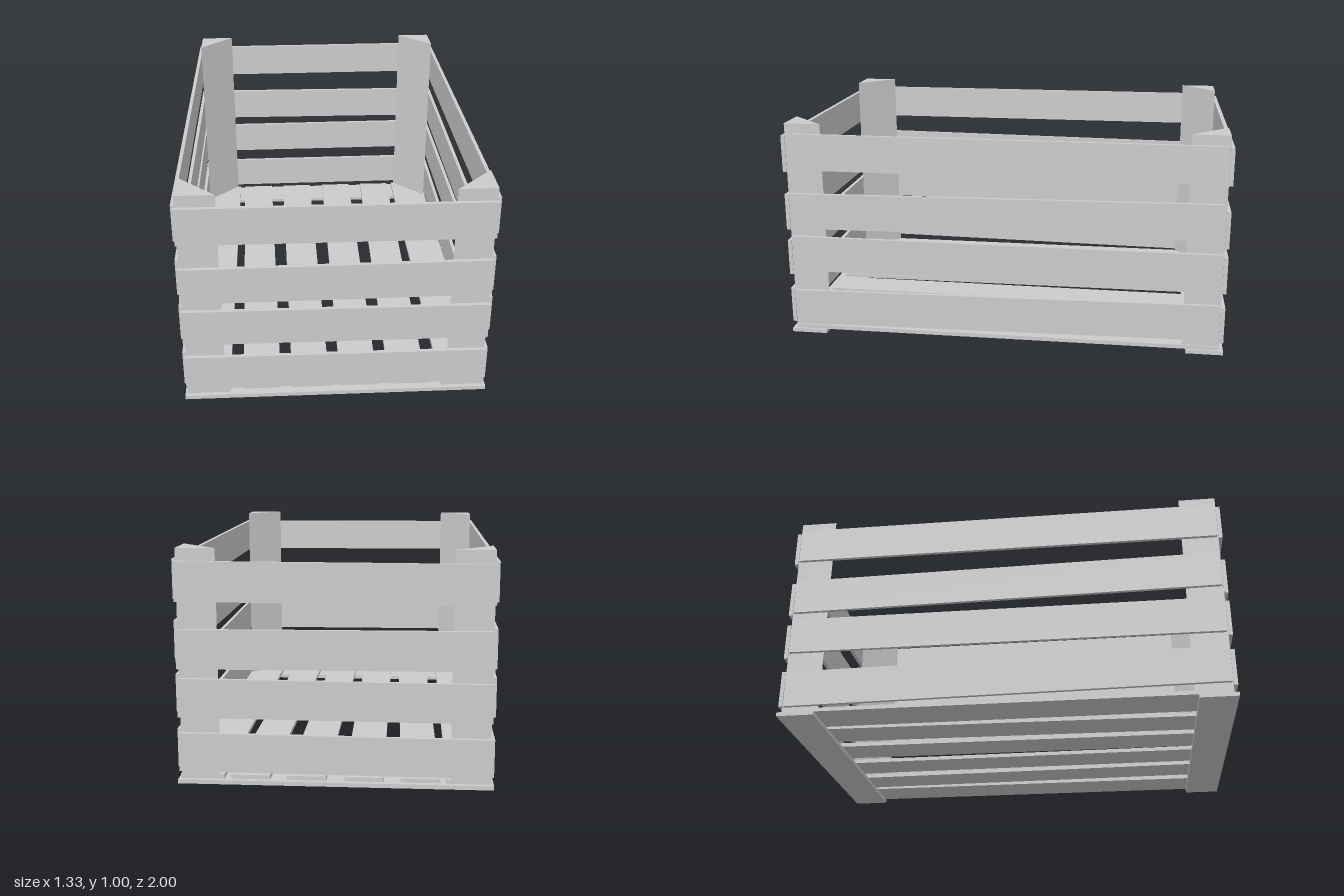
import * as THREE from 'three';

const material = new THREE.MeshStandardMaterial({ color: 0xcccccc, flatShading: true });

// Straight board whose centre line runs from point a to point b.
// width and thickness are measured across the line; flat boards lie on the floor.
function board(name, a, b, width, thickness, flat = false) {
  const start = new THREE.Vector3(...a), end = new THREE.Vector3(...b);
  const size = flat ? [width, thickness] : [thickness, width];
  const mesh = new THREE.Mesh(new THREE.BoxGeometry(...size, start.distanceTo(end)), material);
  mesh.name = name;
  mesh.position.copy(start).add(end).multiplyScalar(0.5);
  mesh.lookAt(end);
  return mesh;
}

// Triangular post with its right angle in the outer corner
function cornerPost(sx, sz) {
  const x = 0.65 * sx, z = 0.981 * sz, leg = 0.165;
  const shape = new THREE.Shape([
    new THREE.Vector2(x, -z),
    new THREE.Vector2(x - leg * sx, -z),
    new THREE.Vector2(x, -z + leg * sz),
  ]);
  const geometry = new THREE.ExtrudeGeometry(shape, { depth: 0.964, bevelEnabled: false });
  geometry.rotateX(-Math.PI / 2).translate(0, 0.036, 0);
  const mesh = new THREE.Mesh(geometry, material);
  mesh.name = 'cornerPost';
  return mesh;
}

// One end wall and one side wall; each slat is given by its centre height at both ends
function halfWalls() {
  const half = new THREE.Group();
  half.name = 'endAndSideWall';
  const endSlats = [[0.138, 0.133], [0.373, 0.368], [0.581, 0.588], [0.864, 0.861]];
  const sideSlats = [[0.128, 0.152], [0.392, 0.389], [0.595, 0.617], [0.872, 0.872]];
  for (const [left, right] of endSlats)
    half.add(board('endSlat', [-0.657, left, 0.99], [0.655, right, 0.99], 0.167, 0.018));
  for (const [front, back] of sideSlats)
    half.add(board('sideSlat', [0.658, front, 0.975], [0.658, back, -0.975], 0.166, 0.016));
  return half;
}

export function createModel() {
  const crate = new THREE.Group();
  crate.name = 'crate';

  // Walls: the second pair is the first turned half round
  for (const turn of [0, Math.PI]) {
    const half = halfWalls();
    half.rotation.y = turn;
    crate.add(half);
  }

  for (const sx of [-1, 1]) for (const sz of [-1, 1]) crate.add(cornerPost(sx, sz));

  // Cross boards under the floor
  for (const sz of [-1, 1])
    crate.add(board('floorCrossBoard', [-0.665, 0.009, 0.917 * sz], [0.665, 0.009, 0.917 * sz], 0.166, 0.018, true));

  // Wide outer floor boards
  for (const x of [-0.563, 0.563])
    crate.add(board('outerFloorBoard', [x, 0.027, -0.981], [x, 0.027, 0.981], 0.187, 0.018, true));

  // Slightly crooked inner floor slats: centre x at the back and at the front
  for (const [back, front] of [[-0.36, -0.327], [-0.123, -0.111], [0.12, 0.104], [0.358, 0.322]])
    crate.add(board('floorSlat', [back, 0.027, -0.978], [front, 0.027, 0.963], 0.166, 0.018, true));

  return crate;
}
